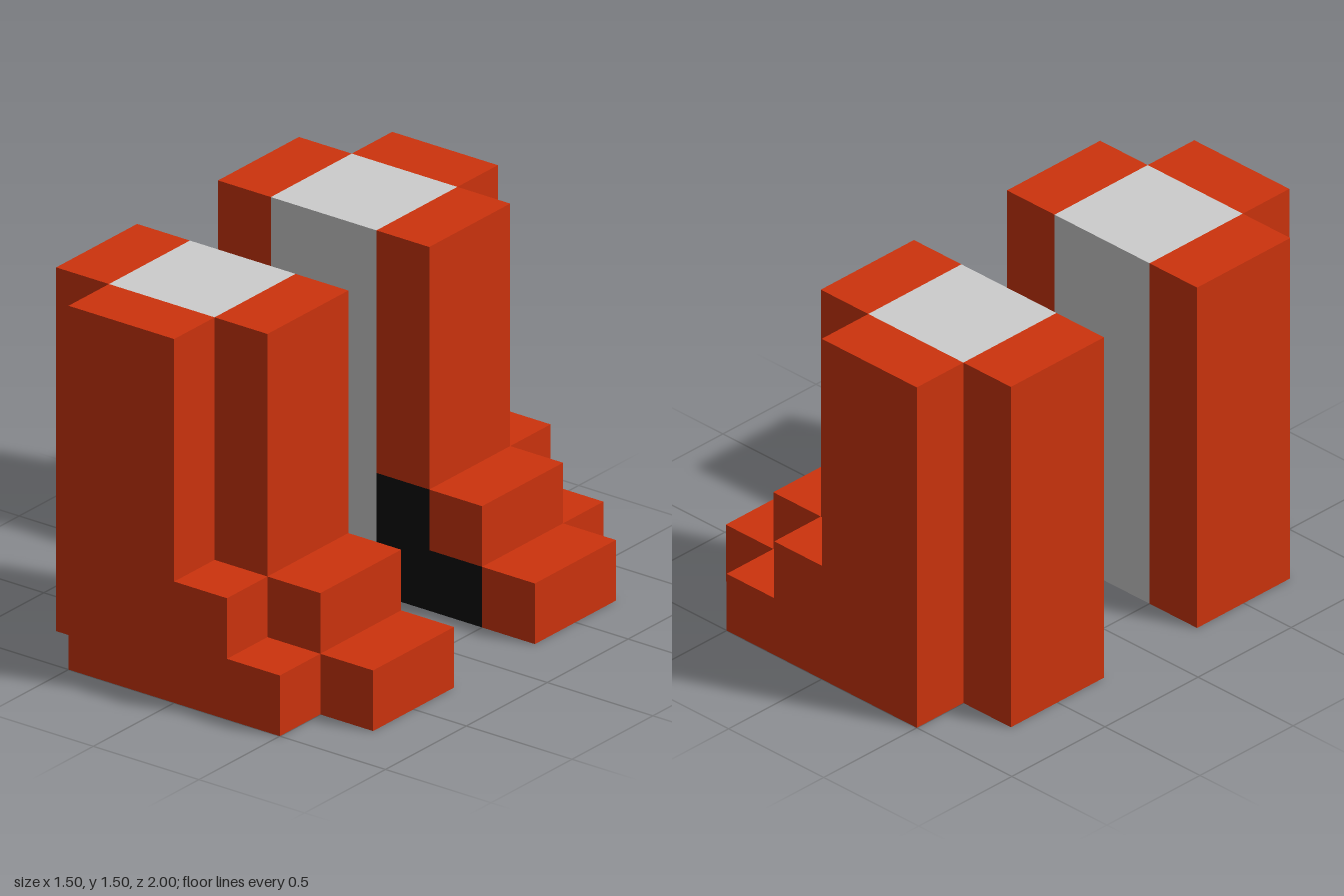
import * as THREE from 'three';

export function createModel() {
  const model = new THREE.Group();
  model.name = 'bootPair';

  const red = new THREE.MeshStandardMaterial({ name: 'red', color: 0xcc330d });
  const grey = new THREE.MeshStandardMaterial({ name: 'lightGrey', color: 0xcccccc });
  const black = new THREE.MeshStandardMaterial({ name: 'black', color: 0x0d0d0d });

  // Extrudes a side profile (x, y) between two depths, on the +z or -z side
  function addProfile(parent, name, material, points, near, far, side) {
    const shape = new THREE.Shape(points.map(([x, y]) => new THREE.Vector2(x, y)));
    const geometry = new THREE.ExtrudeGeometry(shape, { depth: far - near, bevelEnabled: false });
    geometry.translate(0, 0, side > 0 ? near : -far);
    const mesh = new THREE.Mesh(geometry, material);
    mesh.name = name;
    parent.add(mesh);
  }

  const rect = (x0, x1, y0, y1) => [[x0, y0], [x1, y0], [x1, y1], [x0, y1]];

  for (const side of [1, -1]) {
    const boot = new THREE.Group();
    boot.name = side > 0 ? 'rightBoot' : 'leftBoot';

    // Stepped panel on the outer side
    addProfile(boot, 'outerPanel', red, [
      [-0.5, 0], [0.5, 0], [0.5, 0.25], [0.25, 0.25],
      [0.25, 0.5], [0, 0.5], [0, 1.5], [-0.5, 1.5],
    ], 0.75, 1, side);

    // Inner slab: heel, leg core, foot core and the covers over the front
    const parts = [
      ['heelPanel', red, rect(-0.75, -0.5, 0, 1.5)],
      ['legCore', grey, rect(-0.5, 0, 0, 1.5)],
      ['footCore', black, [[0, 0], [0.5, 0], [0.5, 0.25], [0.25, 0.25], [0.25, 0.5], [0, 0.5]]],
      ['shinPanel', red, rect(0, 0.25, 0.5, 1.5)],
      ['instep', red, rect(0.25, 0.5, 0.25, 0.5)],
      ['toeCap', red, rect(0.5, 0.75, 0, 0.25)],
    ];
    for (const [name, material, points] of parts) {
      addProfile(boot, name, material, points, 0.25, 0.75, side);
    }
    model.add(boot);
  }
  return model;
}
